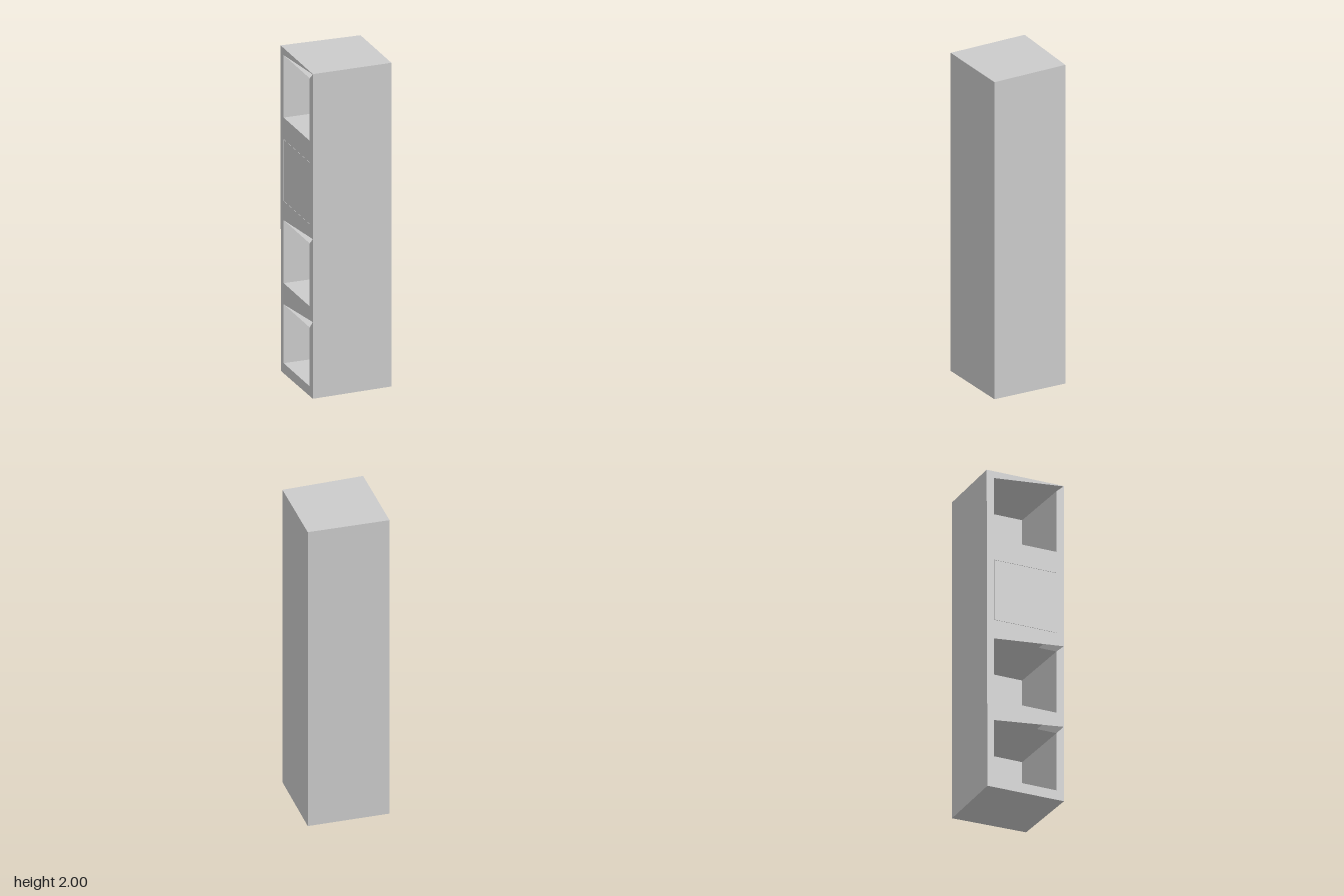
import * as THREE from 'three';

const W = 0.243; // half width
const D = 0.248; // half depth
const INNER = 0.2; // half depth of each compartment opening

export function createModel() {
  const group = new THREE.Group();
  const material = new THREE.MeshStandardMaterial({
    color: 0xcccccc, flatShading: true, side: THREE.DoubleSide,
  });
  const add = (name, geometry) => {
    const mesh = new THREE.Mesh(geometry, material);
    mesh.name = name;
    group.add(mesh);
    return mesh;
  };

  // Slightly uneven cabinet corners: bottom ring, then top ring
  const corners = [
    [-W, 0.004, D], [W, 0.01, D], [W, 0, -0.227], [-W, 0, -0.243],
    [-W, 2, D], [W, 2, D], [W, 2, -0.227], [-W, 2, -D],
  ];
  const quads = [[0, 1, 5, 4], [1, 2, 6, 5], [2, 3, 7, 6], [4, 5, 6, 7], [3, 2, 1, 0]];
  const positions = [];
  for (const [a, b, c, d] of quads) {
    for (const i of [a, b, c, a, c, d]) positions.push(...corners[i]);
  }
  const shell = new THREE.BufferGeometry();
  shell.setAttribute('position', new THREE.Float32BufferAttribute(positions, 3));
  shell.computeVertexNormals();
  add('cabinetShell', shell);

  // Compartments from top to bottom; flare is the height of the open upper corner
  const compartments = [
    { low: 1.573, high: 1.957, flare: 1.997 },
    { low: 1.06, high: 1.44, closed: true },
    { low: 0.555, high: 0.942, flare: 0.985 },
    { low: 0.063, high: 0.425, flare: 0.475 },
  ];

  // Open side drawn in z, y, with one hole per compartment
  const points = (list) => list.map(([z, y]) => new THREE.Vector2(z, y));
  const face = new THREE.Shape(points([[-0.243, 0], [D, 0.004], [D, 2], [-D, 2]]));

  compartments.forEach(({ low, high, flare, closed }, i) => {
    const outline = [[-INNER, low], [-INNER, high]];
    if (flare) outline.push([D - 0.002, flare]);
    outline.push([INNER, high], [INNER, low]);
    face.holes.push(new THREE.Path(points(outline)));

    // Compartment lining without the side that opens outward
    const depth = 0.44;
    const lining = new THREE.BoxGeometry(depth, high - low, INNER * 2);
    const index = Array.from(lining.index.array);
    index.splice(6, 6);
    lining.setIndex(index);
    lining.clearGroups();
    add(`compartment${i + 1}`, lining).position.set(-W + depth / 2, (low + high) / 2, 0);

    // Flush door on the closed compartment
    if (closed) {
      const door = new THREE.BoxGeometry(0.02, high - low - 0.003, INNER * 2 - 0.003);
      add('closedDoor', door).position.set(-W + 0.01, (low + high) / 2, 0);
    }
  });

  const frame = new THREE.ShapeGeometry(face);
  frame.rotateY(-Math.PI / 2);
  frame.translate(-W, 0, 0);
  add('openSideFrame', frame);

  return group;
}
